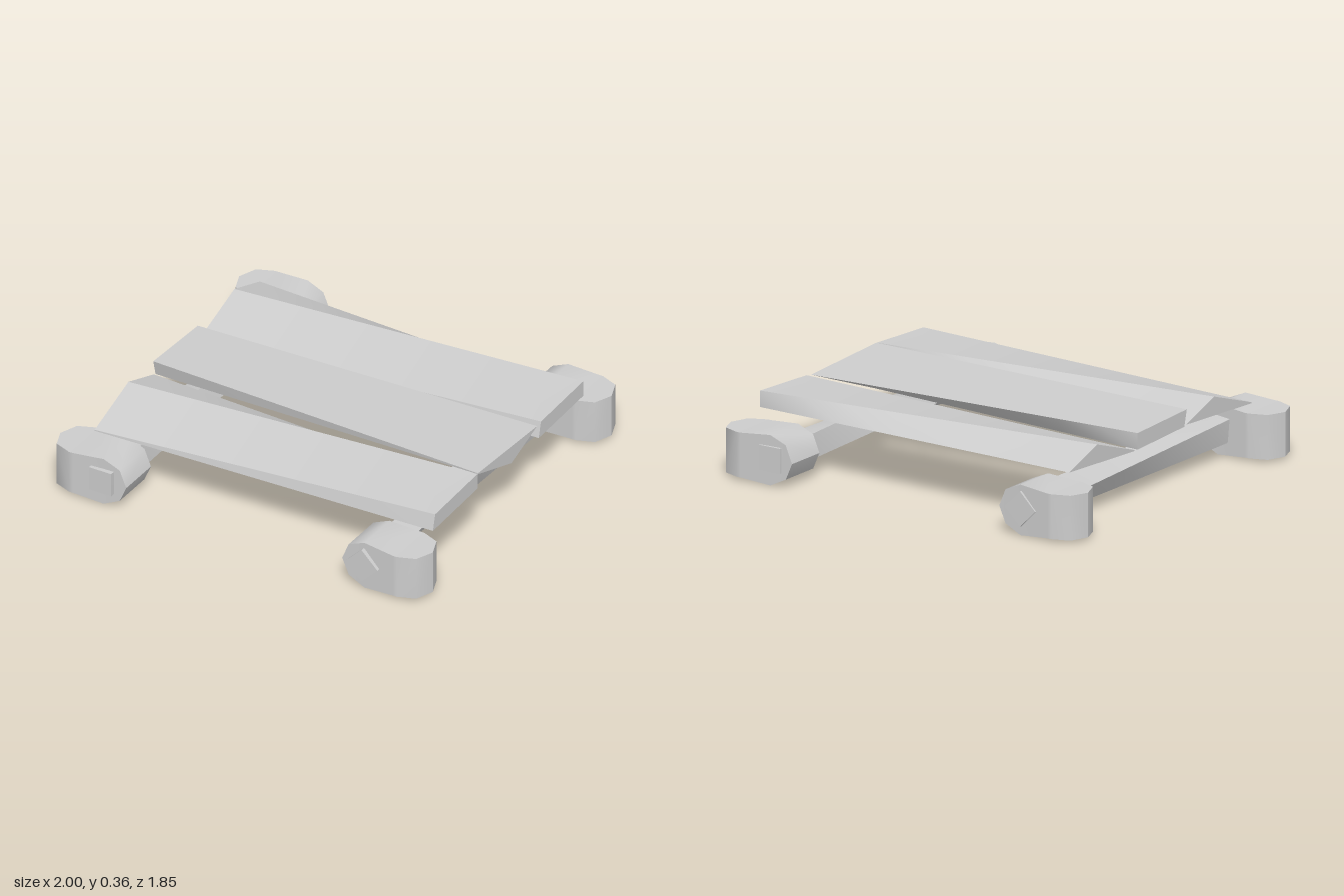
import * as THREE from 'three';
import { mergeGeometries } from 'three/addons/utils/BufferGeometryUtils.js';

const material = new THREE.MeshStandardMaterial({ color: 0xcccccc });

// Grid of points to a surface: smooth inside, sharp where it meets other surfaces
function patch(rows, flip) {
  const n = rows[0].length, index = [];
  for (let i = 0; i < rows.length - 1; i++) {
    for (let j = 0; j < n - 1; j++) {
      const a = i * n + j, b = a + 1, c = a + n, d = c + 1;
      index.push(...(flip ? [a, c, b, b, c, d] : [a, b, c, b, d, c]));
    }
  }
  const geometry = new THREE.BufferGeometry();
  geometry.setAttribute('position', new THREE.Float32BufferAttribute(rows.flat(2), 3));
  geometry.setIndex(index);
  geometry.computeVertexNormals();
  return geometry;
}

// Signed volume tells whether the faces point outward
function volume(geometry) {
  const p = geometry.attributes.position, idx = geometry.index;
  const [a, b, c] = [0, 1, 2].map(() => new THREE.Vector3());
  let sum = 0;
  for (let i = 0; i < idx.count; i += 3) {
    [a, b, c].forEach((v, k) => v.fromBufferAttribute(p, idx.getX(i + k)));
    sum += a.dot(b.cross(c));
  }
  return sum;
}

// Solid through four-cornered sections, with sharp edges along the corners
function loft(name, sections) {
  const build = (flip) => {
    const parts = [];
    for (let k = 0; k < 4; k++) {
      parts.push(patch(sections.map((s) => [s[k], s[(k + 1) % 4]]), flip));
    }
    const first = sections[0], last = sections[sections.length - 1];
    parts.push(patch([[first[0], first[1]], [first[3], first[2]]], !flip));
    parts.push(patch([[last[0], last[1]], [last[3], last[2]]], flip));
    return mergeGeometries(parts);
  };
  let geometry = build(false);
  if (volume(geometry) < 0) geometry = build(true);
  const mesh = new THREE.Mesh(geometry, material);
  mesh.name = name;
  return mesh;
}

// Straight-edged twist between two sections
function between(start, end, steps) {
  return Array.from({ length: steps + 1 }, (_, i) =>
    start.map((p, k) => p.map((v, m) => THREE.MathUtils.lerp(v, end[k][m], i / steps))));
}

// Plank ends as [z, y]: front bottom, front top, back top, back bottom
const PLANK_RIGHT = [[0.73, 0.265], [0.73, 0.27], [0.43, 0.37], [0.205, 0.29]];
const PLANK_LEFT = [[0.67, 0.267], [0.65, 0.346], [0.275, 0.364], [0.275, 0.285]];

function plank(name, shift, turned) {
  const place = (x) => ([z, y]) => [turned ? 0.08 - x : x, turned ? 0.63 - y : y, z + shift];
  return loft(name, between(PLANK_RIGHT.map(place(-0.85)), PLANK_LEFT.map(place(0.93)), 8));
}

// Square bar with an eighth of a turn along its length
function axle(name, x, startAngle) {
  const ring = (z, angle) => [0, 1, 2, 3].map((k) => {
    const a = angle + k * Math.PI / 2;
    return [x + 0.085 * Math.cos(a), 0.137 + 0.085 * Math.sin(a), z];
  });
  return loft(name, between(ring(0.92, startAngle), ring(-0.925, startAngle + Math.PI / 4), 8));
}

// Foot sections: x, low y, high y, and half width in z.
// The inner end is rounded seen from the front, the outer end seen from above.
const FOOT = [
  [0.58, 0.13, 0.13, 0.11],
  [0.615, 0.05, 0.214, 0.11],
  [0.70, 0.008, 0.25, 0.112],
  [0.86, 0.022, 0.237, 0.123],
  [0.88, 0.022, 0.237, 0.123],
  [0.965, 0.021, 0.236, 0.09],
  [1, 0.021, 0.235, 0],
];

function foot(name, side, z) {
  return loft(name, FOOT.map(([x, lo, hi, w]) =>
    [[lo, -w], [hi, -w], [hi, w], [lo, w]].map(([y, dz]) => [side * x, y, z + dz])));
}

export function createModel() {
  const group = new THREE.Group();
  group.name = 'plankPlatform';

  // Deck: the middle plank is turned over end to end
  group.add(plank('frontPlank', 0, false));
  group.add(plank('middlePlank', -0.46, true));
  group.add(plank('backPlank', -0.94, false));

  // Twisted axles
  group.add(axle('leftAxle', 0.698, 0));
  group.add(axle('rightAxle', -0.706, Math.PI / 4));

  // Feet on the axle ends
  for (const [sideName, side] of [['Left', 1], ['Right', -1]]) {
    group.add(foot(`front${sideName}Foot`, side, 0.786));
    group.add(foot(`back${sideName}Foot`, side, -0.8));
  }
  return group;
}
